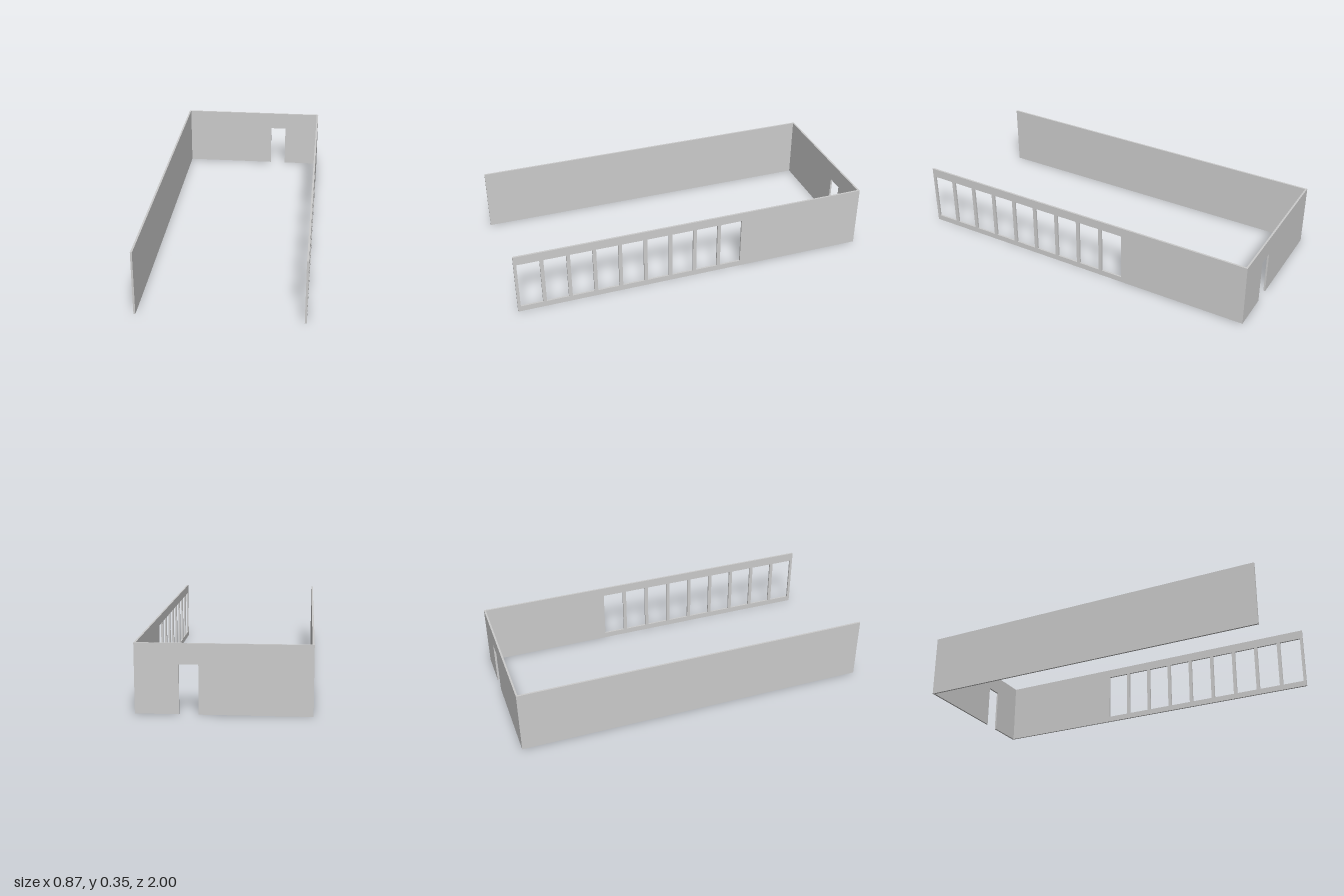
import * as THREE from 'three';

const HALF_W = 0.437, HALF_L = 1, HEIGHT = 0.355, THICK = 0.01;

const material = new THREE.MeshStandardMaterial({ color: 0xcccccc, flatShading: true });

// Closed outline from corner pairs
const outline = (Type, points) => new Type(points.map(([x, y]) => new THREE.Vector2(x, y)));

// Upright wall slab, extruded from z = 0 to z = THICK
function wall(name, shape) {
  const geometry = new THREE.ExtrudeGeometry(shape, { depth: THICK, bevelEnabled: false });
  const mesh = new THREE.Mesh(geometry, material);
  mesh.name = name;
  return mesh;
}

// Long wall outline; its horizontal axis runs along the length
const sideShape = () => outline(THREE.Shape, [
  [-HALF_L, 0], [HALF_L, 0], [HALF_L, HEIGHT], [-HALF_L, HEIGHT],
]);

export function createModel() {
  const group = new THREE.Group();
  group.name = 'walledRoom';

  // Left wall with a row of nine window openings, starting at the front end
  const windowed = sideShape();
  const count = 9, pitch = 0.142, width = 0.122, sill = 0.032, head = 0.304;
  for (let i = 0; i < count; i++) {
    const a = -0.984 + i * pitch, b = a + width;
    windowed.holes.push(outline(THREE.Path, [[a, sill], [a, head], [b, head], [b, sill]]));
  }
  const leftWall = wall('windowedLeftWall', windowed);
  leftWall.rotation.y = Math.PI / 2;
  leftWall.position.x = HALF_W - THICK;
  group.add(leftWall);

  // Plain right wall
  const rightWall = wall('rightWall', sideShape());
  rightWall.rotation.y = Math.PI / 2;
  rightWall.position.x = -HALF_W;
  group.add(rightWall);

  // Back wall between the long walls, notched by a doorway down to the floor
  const inner = HALF_W - THICK, doorL = 0.122, doorR = 0.218, doorTop = 0.25;
  const backWall = wall('backWallWithDoorway', outline(THREE.Shape, [
    [-inner, 0], [doorL, 0], [doorL, doorTop], [doorR, doorTop], [doorR, 0],
    [inner, 0], [inner, HEIGHT], [-inner, HEIGHT],
  ]));
  backWall.position.z = -HALF_L;
  group.add(backWall);

  return group;
}
